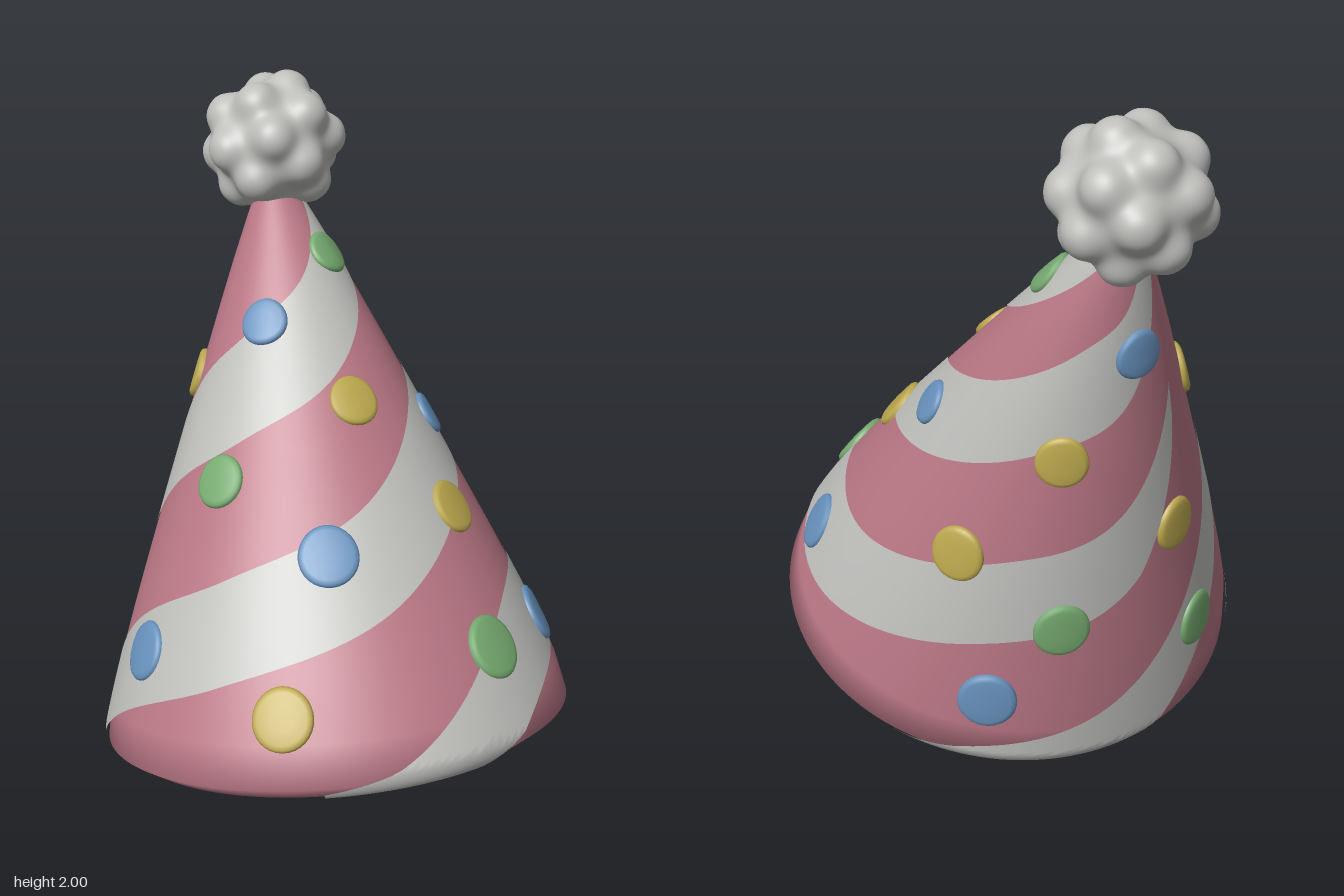
import * as THREE from 'three';
import { mergeVertices } from 'three/addons/utils/BufferGeometryUtils.js';

const TAU = Math.PI * 2, DEG = Math.PI / 180;
const TILT = 17.4 * DEG, R = 0.704, ROLL = 0.07, RIM = 0.1, TOP = 0.97;

// Point on a tilted ring: s slides its centre from brim (0) to apex (1), h lifts it off the ring plane
function ring(s, r, h, a) {
  const d = r * 0.968 * Math.cos(a);
  return new THREE.Vector3(
    r * Math.sin(a) + 0.018 * s,
    0.25 + 1.505 * s + d * Math.sin(TILT) + h * Math.cos(TILT),
    0.13 - 0.715 * s + d * Math.cos(TILT) - h * Math.sin(TILT));
}

// Outer skin: leaning, slightly bulging cone for s > 0, rolled brim edge for s < 0
function skin(s, a) {
  if (s >= 0) {
    const bulge = (0.024 + 0.018 * Math.cos(a)) * (1 - (2 * s - 1) ** 4);
    return ring(s, R * (1 - s) + bulge, 0, a);
  }
  const b = -s / RIM * Math.PI / 2;
  return ring(0, R - ROLL + ROLL * Math.cos(b), -ROLL * Math.sin(b), a);
}

const lining = (s, a) => ring(s, 0.535 - 0.48 * s, 0, a);

function frame(f, s, a) {
  const e = 1e-3;
  const ps = f(s + e, a).sub(f(s - e, a)).divideScalar(2 * e);
  const pa = f(s, a + e).sub(f(s, a - e)).divideScalar(2 * e);
  return { ps, pa, n: pa.clone().cross(ps).normalize() };
}

// Surface over a grid; at(i, j) returns { p, n }
function grid(nu, nv, at) {
  const pos = [], nor = [], idx = [];
  for (let i = 0; i <= nu; i++) for (let j = 0; j <= nv; j++) {
    const { p, n } = at(i, j);
    pos.push(p.x, p.y, p.z);
    if (n) nor.push(n.x, n.y, n.z);
  }
  for (let i = 0; i < nu; i++) for (let j = 0; j < nv; j++) {
    const q = i * (nv + 1) + j, w = q + nv + 1;
    idx.push(q, w, w + 1, q, w + 1, q + 1);
  }
  let g = new THREE.BufferGeometry();
  g.setAttribute('position', new THREE.Float32BufferAttribute(pos, 3));
  g.setIndex(idx);
  if (nor.length) g.setAttribute('normal', new THREE.Float32BufferAttribute(nor, 3));
  else { g = mergeVertices(g); g.computeVertexNormals(); }
  return g;
}

// Outer skin between two limits of s that may vary with the angle, over a range of degrees
function skinPatch(from, to, lo, hi, lift) {
  const nu = Math.ceil((to - from) / 2.5), nv = 14;
  return grid(nu, nv, (i, j) => {
    const deg = from + (to - from) * i / nu, a = deg * DEG;
    const l = lo(deg), s = THREE.MathUtils.clamp(l + (hi(deg) - l) * j / nv, -RIM, TOP);
    const n = frame(skin, s, a).n;
    return { p: skin(s, a).addScaledVector(n, lift), n };
  });
}

// Height gained by a stripe at each angle: three periods per turn, steepest at the back left
const PERIOD = 0.39;
const climbCurve = new THREE.CubicInterpolant(
  [-45, 0, 45, 90, 135, 180, 225, 270, 315, 360, 405],
  [-0.09, 0, 0.15, 0.265, 0.38, 0.48, 0.72, 0.97, 1.08, 1.17, 1.32], 1);
function climb(deg) {
  const turns = Math.floor(deg / 360);
  return climbCurve.evaluate(deg - turns * 360)[0] + turns * 3 * PERIOD;
}

// Domed disc that follows the surface f around (s, a)
function dotGeometry(f, s, a, w, t, lift) {
  const { ps, pa, n } = frame(f, s, a);
  const e1 = pa.clone().normalize(), e2 = n.clone().cross(e1);
  const rings = [[1, -0.004], [1, 0.006], [0.94, 0.013], [0.8, 0.017], [0.4, 0.018], [0, 0.018]];
  return grid(32, rings.length - 1, (i, j) => {
    const [k, h] = rings[j], b = i / 32 * TAU;
    const ds = k * t * Math.sin(b) / ps.dot(e2);
    const da = (k * w * Math.cos(b) - ds * ps.dot(e1)) / pa.length();
    const p = f(s + ds, a + da);
    return { p: p.addScaledVector(frame(f, s + ds, a + da).n, h * lift) };
  });
}

// Fluffy ball: sphere swelling into flat-topped lumps around evenly spread tufts
function pompomGeometry() {
  const g = mergeVertices(new THREE.IcosahedronGeometry(1, 24).deleteAttribute('uv').deleteAttribute('normal'));
  const tufts = [];
  for (let i = 0; i < 20; i++) {
    const y = 1 - 2 * (i + 0.5) / 20, q = Math.sqrt(1 - y * y), a = i * 2.39996;
    tufts.push(new THREE.Vector3(q * Math.cos(a), y, q * Math.sin(a)));
  }
  const p = g.attributes.position, v = new THREE.Vector3();
  for (let i = 0; i < p.count; i++) {
    v.fromBufferAttribute(p, i).normalize();
    let swell = 0;
    for (const c of tufts) swell += Math.exp(-v.distanceToSquared(c) / 0.075);
    v.multiplyScalar(0.173 + 0.05 * Math.tanh(1.6 * swell));
    p.setXYZ(i, v.x, v.y, v.z);
  }
  g.computeVertexNormals();
  return g;
}

export function createModel() {
  const mat = (name, color, side = THREE.FrontSide) => {
    const m = new THREE.MeshStandardMaterial({ color, side });
    m.name = name;
    return m;
  };
  const pink = mat('pink', 0xb87684), white = mat('white', 0xbebebb);
  const blue = mat('blue', 0x6791bc), green = mat('green', 0x76aa70);
  const yellow = mat('yellow', 0xbca84e, THREE.DoubleSide);
  const hat = new THREE.Group();
  hat.name = 'partyHat';
  const add = (name, geo, m, parent = hat) => {
    const mesh = new THREE.Mesh(geo, m);
    mesh.name = name;
    parent.add(mesh);
    return mesh;
  };

  // Pink cone
  add('cone', skinPatch(0, 360, () => -RIM, () => TOP, 0), pink);

  // White spiral ribbons: [start, end, sway at the front left, its angle]; the first tapers out at the back
  const ribbons = [[-20, 218, 0.055, 42], [105, 520, -0.025, 410], [210, 620, 0, 400]];
  ribbons.forEach(([from, to, sway, at], k) => {
    const top = deg => Math.max(-0.06,
      -k * PERIOD + climb(deg) + sway * Math.exp(-(((deg - at) / 32) ** 2)));
    const bottom = deg => {
      const t = top(deg), taper = k === 0 ? Math.sqrt(Math.min(1, (to - deg) / 30)) : 1;
      return Math.max(-0.06, t - (0.15 + 0.04 * t) * taper);
    };
    add('whiteStripe', skinPatch(from, to, bottom, top, 0.003), white);
  });

  // Hollow inside and flat underside of the brim: [s, radius, height]
  const inner = [[0.93, 0.01, 0], [0.5, 0.285, 0], [0, 0.535, 0], [0, 0.548, -0.04],
    [0, 0.56, -0.062], [0, 0.58, -0.07], [0, R - ROLL, -0.07]];
  add('lining', grid(96, inner.length - 1, (i, j) => ({ p: ring(...inner[j], i / 96 * TAU) })), pink);

  // Raised dots: [material, s, angle from the front in degrees, relative size]
  const dots = [
    [green, 0.812, 38], [blue, 0.708, -33], [yellow, 0.565, 11], [blue, 0.331, -12, 1.08],
    [yellow, 0.363, 40], [green, 0.141, 31, 1.06], [yellow, 0.094, -28], [green, 0.452, -52],
    [blue, 0.17, -75], [blue, 0.136, 65], [blue, 0.508, 64, 0.86], [yellow, 0.367, 120],
    [blue, 0.113, 145], [green, 0.268, 161], [yellow, 0.583, 146], [blue, 0.766, 188],
    [yellow, 0.615, -103], [yellow, 0.405, 207], [green, 0.16, 212]];
  const spots = new THREE.Group();
  spots.name = 'dots';
  hat.add(spots);
  for (const [m, s, deg, scale = 1] of dots) {
    const size = (0.088 - 0.028 * s) * scale;
    add(m.name + 'Dot', dotGeometry(skin, s, deg * DEG, size, size * 1.05, 1), m, spots);
  }
  add('innerDot', dotGeometry(lining, 0.1, -54 * DEG, 0.09, 0.06, -0.5), yellow, spots);

  // Pompom on the tip
  add('pompom', pompomGeometry(), white).position.set(0.022, 1.785, -0.57);
  return hat;
}
